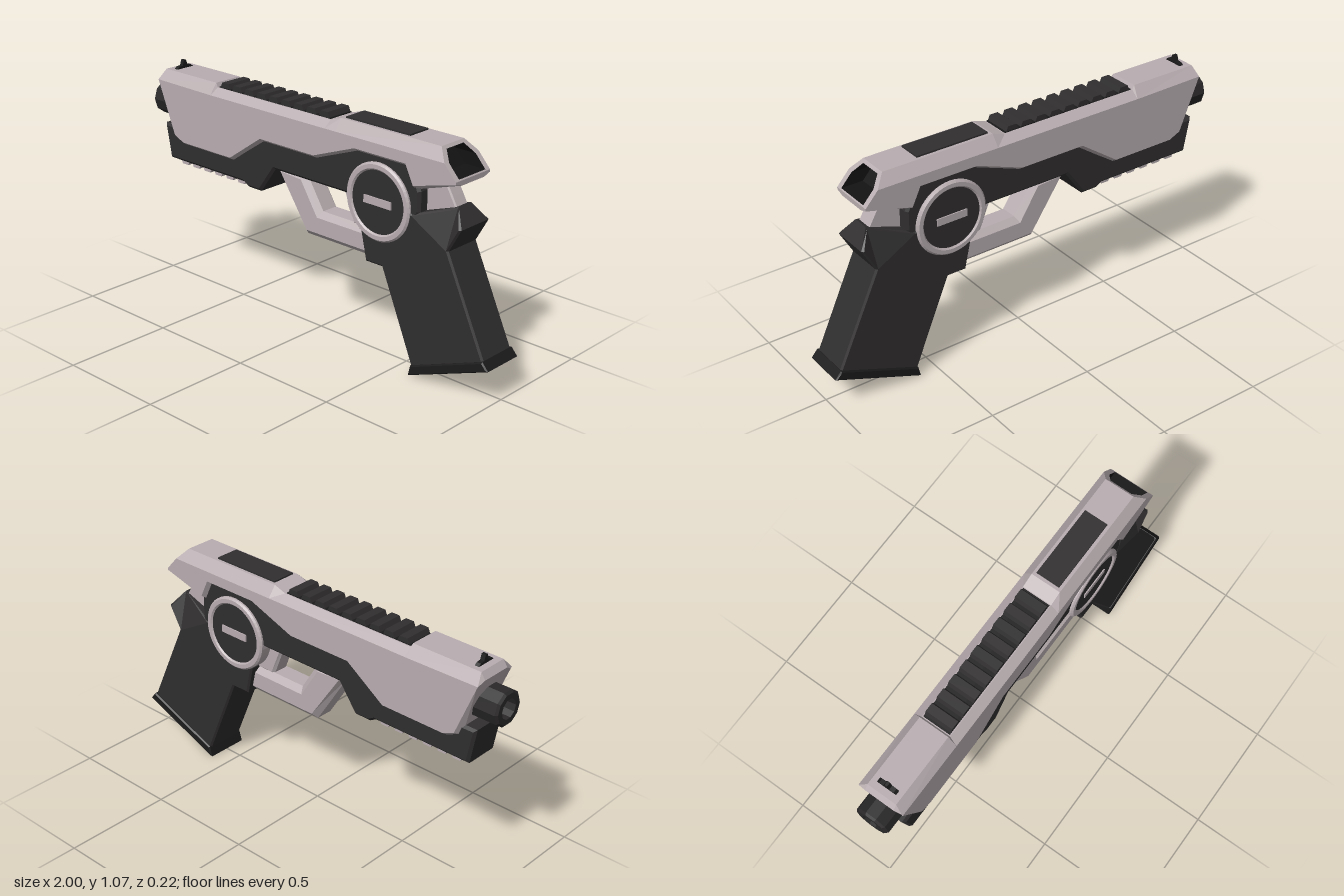
import * as THREE from 'three';

const mat = (color, side = THREE.FrontSide) => new THREE.MeshStandardMaterial({ color, side, flatShading: true });
const light = mat(0xb9aeb1);
const dark = mat(0x302e2f);
const black = mat(0x1c1b1c);
const hollow = mat(0x141314, THREE.BackSide);

const toShape = pts => new THREE.Shape(pts.map(p => new THREE.Vector2(p[0], p[1])));

// Side profile extruded across z, bevelled inward, centred on z = 0
function prism(shape, half, bevel = 0.01) {
  const geo = new THREE.ExtrudeGeometry(shape, {
    depth: 2 * (half - bevel), bevelEnabled: bevel > 0, bevelThickness: bevel,
    bevelSize: bevel, bevelOffset: -bevel, bevelSegments: 1, curveSegments: 24,
  });
  return geo.translate(0, 0, bevel - half);
}

// Chamfered slab: rows are [edge x, edge y, face x, face y]; the closing edge is left open
function chamferedSlab(rows, zEdge, zFace) {
  const edge = rows.map(r => [r[0], r[1]]), face = rows.map(r => [r[2], r[3]]);
  const rings = [[face, -zFace], [edge, -zEdge], [edge, zEdge], [face, zFace]];
  const pos = [];
  const put = (k, i) => pos.push(...rings[k][0][i], rings[k][1]);
  for (let k = 0; k < 3; k++) {
    for (let i = 0; i < rows.length - 1; i++) {
      const j = i + 1;
      put(k, i); put(k, j); put(k + 1, j);
      put(k, i); put(k + 1, j); put(k + 1, i);
    }
  }
  const tris = THREE.ShapeUtils.triangulateShape(face.map(p => new THREE.Vector2(...p)), []);
  for (const [a, b, c] of tris) {
    put(3, a); put(3, b); put(3, c);
    put(0, a); put(0, c); put(0, b);
  }
  const geo = new THREE.BufferGeometry();
  geo.setAttribute('position', new THREE.Float32BufferAttribute(pos, 3));
  geo.computeVertexNormals();
  return geo;
}

// Lays a (z, y) drawing onto the sloping rear of the slide, facing +x
function onRearSlope(geo) {
  const p = geo.attributes.position;
  for (let i = 0; i < p.count; i++) {
    const a = p.getX(i), b = p.getY(i), d = p.getZ(i);
    p.setXYZ(i, 0.71 + (1.03 - b) * 0.913 + d, b, -a);
  }
  geo.computeVertexNormals();
  return geo;
}

export function createModel() {
  const model = new THREE.Group();
  const add = (name, geo, material, x = 0, y = 0, z = 0) => {
    const mesh = new THREE.Mesh(geo, material);
    mesh.name = name;
    mesh.position.set(x, y, z);
    model.add(mesh);
    return mesh;
  };

  // Upper slide
  add('slide', chamferedSlab([
    [0.71, 1.03, 0.756, 0.98], [0.18, 1.03, 0.18, 0.98], [0.12, 1.01, 0.12, 0.98],
    [-0.565, 1.01, -0.565, 0.98], [-0.575, 1.03, -0.575, 0.98], [-0.91, 1.03, -0.925, 0.985],
    [-0.93, 1.0, -0.92, 0.975], [-0.84, 0.72, -0.825, 0.74], [-0.78, 0.69, -0.77, 0.715],
    [-0.45, 0.69, -0.457, 0.715], [-0.255, 0.82, -0.265, 0.847], [0.06, 0.82, 0.055, 0.847],
    [0.29, 0.905, 0.285, 0.932], [0.545, 0.905, 0.56, 0.932], [0.585, 0.82, 0.6, 0.848],
    [0.815, 0.893, 0.815, 0.905], [0.815, 0.915, 0.815, 0.915],
  ], 0.07, 0.108), light);

  // Rear rim and the hollow behind it
  const hexagon = (w, wTop, top, shoulder, low) =>
    [[-w, low], [w, low], [w, shoulder], [wTop, top], [-wTop, top], [-w, shoulder]];
  const opening = hexagon(0.083, 0.053, 1.018, 0.975, 0.92);
  const rim = toShape(hexagon(0.108, 0.07, 1.03, 0.98, 0.915));
  rim.holes.push(toShape(opening));
  add('slideRearRim', onRearSlope(new THREE.ShapeGeometry(rim)), light);
  const well = new THREE.ExtrudeGeometry(toShape(opening), { depth: 0.1, bevelEnabled: false });
  add('slideRearHollow', onRearSlope(well.translate(0, 0, -0.1)), hollow);

  // Lower frame
  add('frame', prism(toShape([
    [-0.915, 0.775], [-0.885, 0.61], [-0.4, 0.61], [-0.37, 0.592], [-0.29, 0.592], [-0.2, 0.715],
    [0.3, 0.715], [0.3, 0.6], [0.55, 0.6], [0.62, 0.73], [0.62, 0.82], [0.56, 0.95],
    [-0.8, 0.95], [-0.8, 0.775],
  ]), 0.088, 0.012), dark);

  // Barrel with an open bore
  const barrel = new THREE.LatheGeometry([
    [0.001, 0.08], [0.045, 0.08], [0.045, 0.2], [0.07, 0.2], [0.08, 0.19], [0.08, 0],
  ].map(p => new THREE.Vector2(...p)).reverse(), 10);
  const barrelMat = mat(0x2a2829, THREE.DoubleSide);
  add('barrel', barrel.rotateZ(Math.PI / 2), barrelMat, -0.8, 0.872, 0);

  // Ribbed rail on top
  add('topRailBase', new THREE.BoxGeometry(0.675, 0.02, 0.13), black, -0.2225, 1.004, 0);
  const topTooth = prism(toShape([[-0.032, 0], [0.032, 0], [0.02, 0.027], [-0.02, 0.027]]), 0.065, 0);
  for (let i = 0; i < 9; i++) add('topRailTooth', topTooth, dark, -0.522 + i * 0.075, 1.009, 0);
  add('topPlate', new THREE.BoxGeometry(0.345, 0.02, 0.112), dark, 0.367, 1.027, 0);

  // Front sight
  const sight = new THREE.ExtrudeGeometry(toShape([
    [-0.05, 0], [0.05, 0], [0.035, 0.013], [0.014, 0.015], [0.006, 0.04],
    [-0.006, 0.04], [-0.014, 0.015], [-0.035, 0.013],
  ]), { depth: 0.02, bevelEnabled: false });
  add('frontSight', sight.rotateY(Math.PI / 2), black, -0.88, 1.027, 0);

  // Ribs beneath the frame
  const rib = prism(toShape([[-0.033, 0.03], [-0.019, 0], [0.019, 0], [0.033, 0.03]]), 0.062, 0);
  for (let i = 0; i < 6; i++) add('lowerRib', rib, light, -0.81 + i * 0.075, 0.588, 0);

  // Trigger guard and trigger
  add('triggerGuard', prism(toShape([
    [-0.215, 0.725], [-0.04, 0.45], [0.4, 0.45], [0.4, 0.575], [0.05, 0.575], [-0.045, 0.725],
  ]), 0.065, 0.026), light);
  add('trigger', prism(toShape([
    [0.16, 0.73], [0.225, 0.565], [0.33, 0.565], [0.33, 0.73],
  ]), 0.045, 0.012), light);

  // Grip, its rear beak narrowed towards the tip
  const grip = prism(toShape([
    [0.6, 0.04], [0.975, 0.18], [0.775, 0.61], [0.835, 0.715], [0.78, 0.787], [0.585, 0.72],
    [0.5, 0.74], [0.36, 0.7], [0.31, 0.58], [0.34, 0.445], [0.43, 0.445],
  ]), 0.094, 0.008);
  const gp = grip.attributes.position;
  for (let i = 0; i < gp.count; i++) {
    if (gp.getX(i) > 0.72 && gp.getY(i) > 0.75) gp.setZ(i, gp.getZ(i) * 0.45);
  }
  grip.computeVertexNormals();
  add('grip', grip, dark);
  add('gripBase', prism(toShape([
    [0.588, 0], [1.0, 0.16], [0.97, 0.195], [0.6, 0.05],
  ]), 0.102, 0.006), black);
  add('hammer', prism(toShape([
    [0.6, 0.72], [0.77, 0.775], [0.745, 0.82], [0.71, 0.88], [0.6, 0.87],
  ]), 0.038, 0.006), light);

  // Round side covers, running through both sides
  const circle = (r, cls) => new cls().absarc(0, 0, r, 0, Math.PI * 2);
  const ring = circle(0.171, THREE.Shape);
  ring.holes.push(circle(0.137, THREE.Path));
  add('coverRing', prism(ring, 0.104, 0.008), light, 0.408, 0.725, 0);
  add('coverDisc', prism(circle(0.146, THREE.Shape), 0.097, 0), dark, 0.408, 0.725, 0);
  add('coverBar', new THREE.BoxGeometry(0.148, 0.034, 0.204), light, 0.408, 0.727, 0);

  return model;
}
